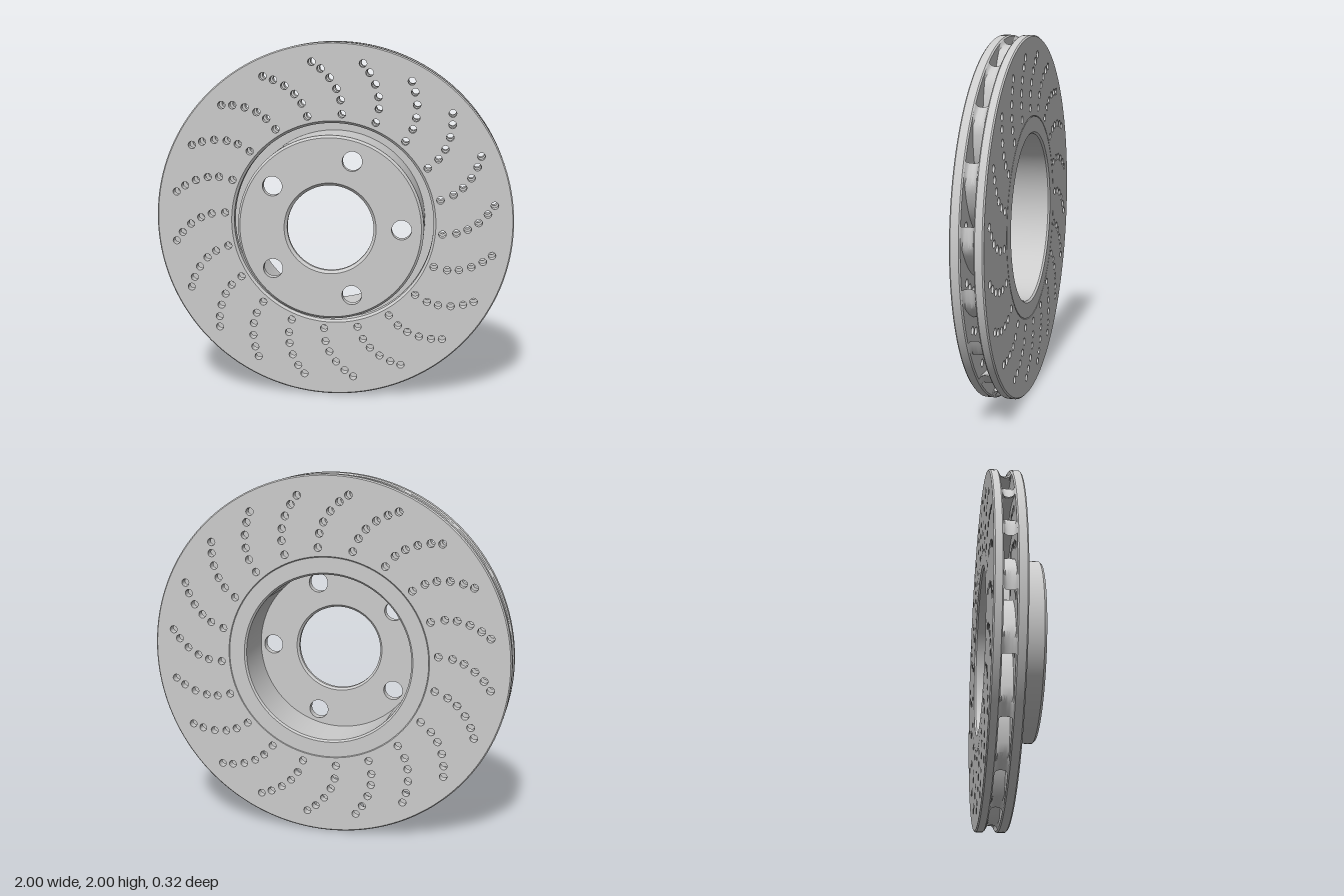
import * as THREE from 'three';
import { toCreasedNormals } from 'three/addons/utils/BufferGeometryUtils.js';

const SEG = 160;
const material = new THREE.MeshStandardMaterial({ color: 0xcccccc });

function mesh(name, geometry) {
  const m = new THREE.Mesh(toCreasedNormals(geometry, 0.6), material);
  m.name = name;
  return m;
}

const polar = (r, a) => new THREE.Vector2(r * Math.cos(a), r * Math.sin(a));

function circle(r, n, cx = 0, cy = 0) {
  const pts = [];
  for (let i = 0; i < n; i++) {
    pts.push(polar(r, (i / n) * Math.PI * 2).add(new THREE.Vector2(cx, cy)));
  }
  return pts;
}

// Profile of (radius, z) pairs turned around the disc axis
function turned(name, profile) {
  const pts = profile.map(([r, z]) => new THREE.Vector2(r, z));
  return mesh(name, new THREE.LatheGeometry(pts, SEG).rotateX(Math.PI / 2));
}

// Flat ring between two radii, pierced by round holes
function drilledRing(name, rIn, rOut, z0, z1, centres, holeR, sides) {
  const shape = new THREE.Shape(circle(rOut, SEG));
  shape.holes.push(new THREE.Path(circle(rIn, SEG)));
  for (const c of centres) shape.holes.push(new THREE.Path(circle(holeR, sides, c.x, c.y)));
  const g = new THREE.ExtrudeGeometry(shape, { depth: z1 - z0, bevelEnabled: false });
  return mesh(name, g.translate(0, 0, z0));
}

// Shared swirl of the drill rows and vanes: angle at a given radius
const swirl = (r) => THREE.MathUtils.degToRad(67.3 + 120 * Math.pow(Math.max(r - 0.6, 0), 1.9));
const STEP = Math.PI / 10;

function drillCentres() {
  const centres = [];
  for (let i = 0; i < 20; i++) {
    for (const r of [0.612, 0.688, 0.748, 0.807, 0.859, 0.9]) {
      centres.push(polar(r, swirl(r) + i * STEP));
    }
  }
  return centres;
}

// Friction plate: drilled face, chamfered rim and inner edge
function frictionPlate(name, z0, z1, innerProfile, centres) {
  const g = new THREE.Group();
  g.name = name;
  const c = 0.007;
  g.add(
    drilledRing('drilledFace', 0.585, 0.985, z0, z1, centres, 0.021, 16),
    turned('plateRim', [[0.985, z0], [1 - c, z0], [1, z0 + c], [1, z1 - c], [1 - c, z1], [0.985, z1]]),
    turned('plateInnerEdge', innerProfile)
  );
  return g;
}

// Curved cooling vane with a hollowed outer end
function vaneGeometry(z0, z1) {
  const left = [], right = [], n = 16, half = 0.026;
  for (let i = 0; i <= n; i++) {
    const r = 0.585 + (0.995 - 0.585) * (i / n);
    const a = swirl(r) + STEP / 2;
    const p = polar(r, a);
    const t = polar(r + 0.005, swirl(r + 0.005) + STEP / 2).sub(p).normalize();
    const w = half * Math.min(1, 0.5 + i / 4);
    left.push(new THREE.Vector2(p.x - t.y * w, p.y + t.x * w));
    right.push(new THREE.Vector2(p.x + t.y * w, p.y - t.x * w));
  }
  // Trim the outer corners to the rim radius
  for (const p of [left[n], right[n]]) p.setLength(0.993);
  const shape = new THREE.Shape([...right, ...left.reverse()]);
  const g = new THREE.ExtrudeGeometry(shape, { depth: z1 - z0, steps: 8, bevelEnabled: false });
  const pos = g.attributes.position;
  for (let i = 0; i < pos.count; i++) {
    const x = pos.getX(i), y = pos.getY(i);
    if (Math.hypot(x, y) < 0.99) continue;
    const t = (2 * pos.getZ(i)) / (z1 - z0) - 1;
    const s = 1 - 0.024 * Math.sqrt(Math.max(0, 1 - t * t));
    pos.setXY(i, x * s, y * s);
  }
  return g.translate(0, 0, z0);
}

export function createModel() {
  const model = new THREE.Group();
  model.name = 'ventilatedBrakeDisc';
  const disc = new THREE.Group();
  disc.name = 'disc';
  disc.position.y = 1;
  model.add(disc);

  // Two friction plates
  const centres = drillCentres();
  const fz0 = -0.045, fz1 = 0.01, bz0 = -0.16, bz1 = -0.11;
  disc.add(
    frictionPlate('frontPlate', fz0, fz1,
      [[0.585, fz1], [0.573, fz1], [0.56, fz1 - 0.012], [0.56, fz0], [0.585, fz0]], centres),
    frictionPlate('backPlate', bz0, bz1,
      [[0.585, bz1], [0.56, bz1], [0.56, bz0 + 0.005], [0.565, bz0], [0.585, bz0]], centres)
  );

  // Cooling vanes between the plates
  const vanes = new THREE.Group();
  vanes.name = 'coolingVanes';
  const vane = mesh('vane', vaneGeometry(bz1, fz0));
  for (let i = 0; i < 20; i++) {
    const v = vane.clone();
    v.rotation.z = i * STEP;
    vanes.add(v);
  }
  disc.add(vanes);

  // Mounting hat: wall with back flange, bolt face and centre bore
  const hat = new THREE.Group();
  hat.name = 'mountingHat';
  const front = 0.158, floor = 0.11;
  const bolts = circle(0.39, 5);
  hat.add(
    turned('hatWall', [[0.45, floor], [0.465, floor], [0.465, -0.15], [0.475, bz0], [0.56, bz0],
      [0.56, bz1], [0.51, bz1], [0.51, front - 0.013], [0.497, front], [0.45, front]]),
    drilledRing('boltFace', 0.27, 0.45, floor, front, bolts, 0.054, 32),
    turned('centreBore', [[0.27, front], [0.252, front], [0.237, front - 0.015],
      [0.237, floor + 0.012], [0.249, floor], [0.27, floor]])
  );
  disc.add(hat);
  return model;
}
